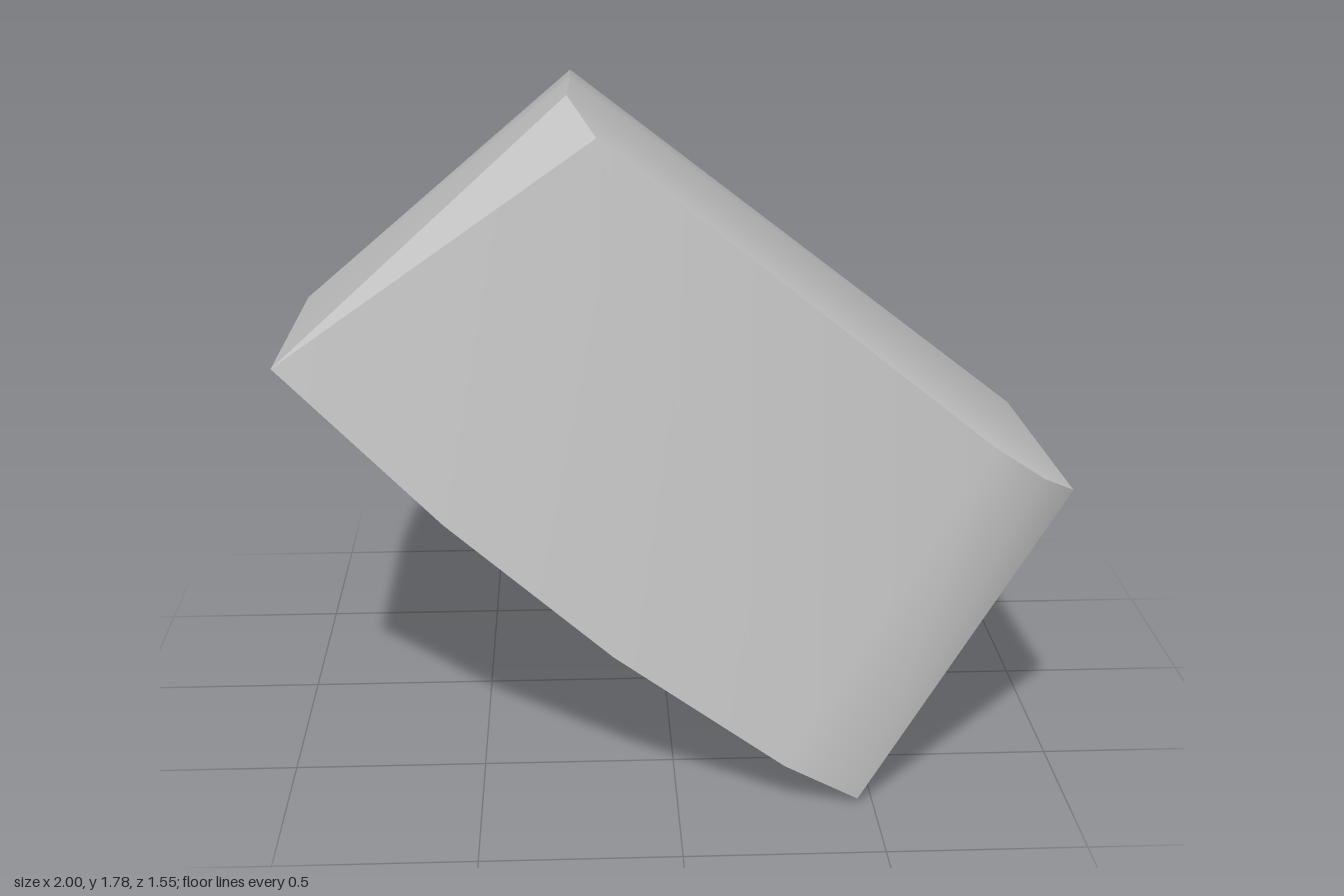
import * as THREE from 'three';
import { ConvexGeometry } from 'three/addons/geometries/ConvexGeometry.js';
import { toCreasedNormals } from 'three/addons/utils/BufferGeometryUtils.js';

export function createModel() {
  const model = new THREE.Group();
  const stone = new THREE.MeshStandardMaterial({ color: 0xc5c5c5 });
  stone.name = 'stoneGrey';

  // Outline of the tilted slab, as corner chains of [x, y, z]
  const ridge = [[-0.26, 1.78, 0.45], [-0.25, 1.75, 0.02], [-0.25, 1.65, -0.75]];
  const frontTopEdge = [[-0.19, 1.705, 0.615], [0.78, 0.95, 0.725], [0.91, 0.86, 0.705], [1, 0.805, 0.64]];
  const frontLowerEdge = [[-1, 1.12, 0.54], [-0.58, 0.745, 0.66], [-0.16, 0.405, 0.72], [0.27, 0.12, 0.775], [0.46, 0.015, 0.76]];
  const backTopEdge = [[-0.06, 1.49, -0.695], [0.96, 0.83, 0.005]];
  const backLowerEdge = [[-0.86, 0.97, -0.775], [-0.605, 0.73, -0.63], [-0.17, 0.39, -0.36], [0.315, 0.09, -0.05]];
  const leftEdge = [[-0.99, 1.11, -0.17], [-0.96, 1.07, -0.54]];
  const footEdge = [[0.465, 0, 0.64], [0.46, 0, 0.5], [0.445, 0.015, 0.16]];

  const corners = [ridge, frontTopEdge, frontLowerEdge, backTopEdge, backLowerEdge, leftEdge, footEdge]
    .flat().map((p) => new THREE.Vector3(...p));

  // Solid rock, soft over shallow bends and sharp at the main edges
  const geometry = toCreasedNormals(new ConvexGeometry(corners), THREE.MathUtils.degToRad(31));
  const rock = new THREE.Mesh(geometry, stone);
  rock.name = 'rock';
  model.add(rock);
  return model;
}
